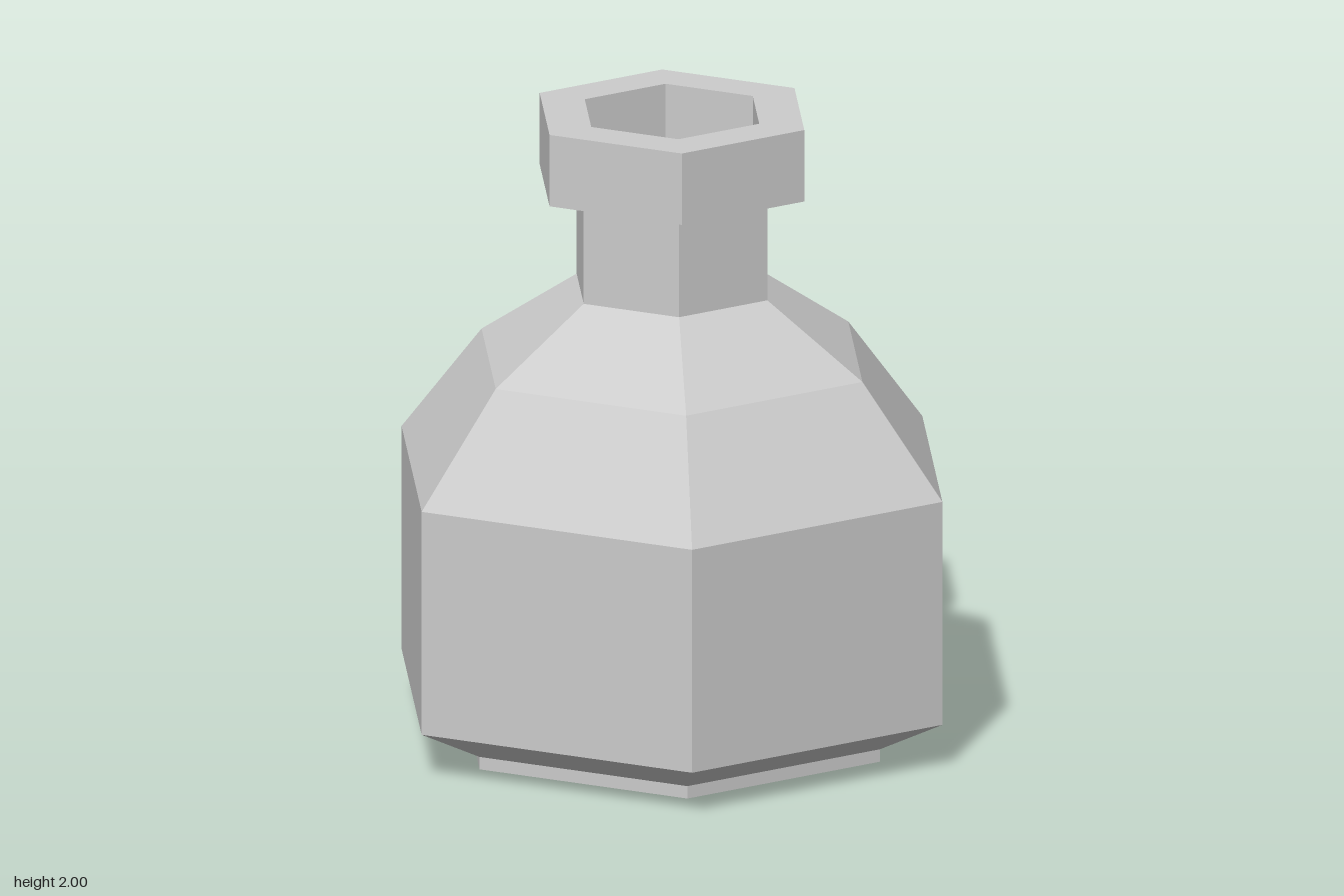
import * as THREE from 'three';

const SIDES = 6;
const material = new THREE.MeshStandardMaterial({ color: 0xcccccc, flatShading: true });

// Revolves [radius, height] points into a faceted hexagonal part, corners facing +z and -z.
function hexPart(name, profile) {
  const points = profile.map(([r, y]) => new THREE.Vector2(r, y));
  const geometry = new THREE.LatheGeometry(points, SIDES).toNonIndexed();
  geometry.computeVertexNormals();
  const mesh = new THREE.Mesh(geometry, material);
  mesh.name = name;
  return mesh;
}

export function createModel() {
  const bottle = new THREE.Group();
  bottle.name = 'bottle';

  bottle.add(
    // closed underside and short foot
    hexPart('foot', [[0, 0], [0.715, 0], [0.715, 0.04]]),
    // chamfered base and straight walls
    hexPart('body', [[0.715, 0.04], [0.93, 0.147], [0.93, 0.865]]),
    // two-step slope up to the neck
    hexPart('shoulder', [[0.93, 0.865], [0.655, 1.215], [0.328, 1.435]]),
    hexPart('neck', [[0.328, 1.435], [0.328, 1.77]]),
    // overhanging collar with a flat rim
    hexPart('lip', [[0.328, 1.77], [0.455, 1.77], [0.455, 2], [0.3, 2]]),
    // inner walls and floor of the opening
    hexPart('mouth', [[0.3, 2], [0.3, 1.435], [0, 1.435]]),
  );
  return bottle;
}
